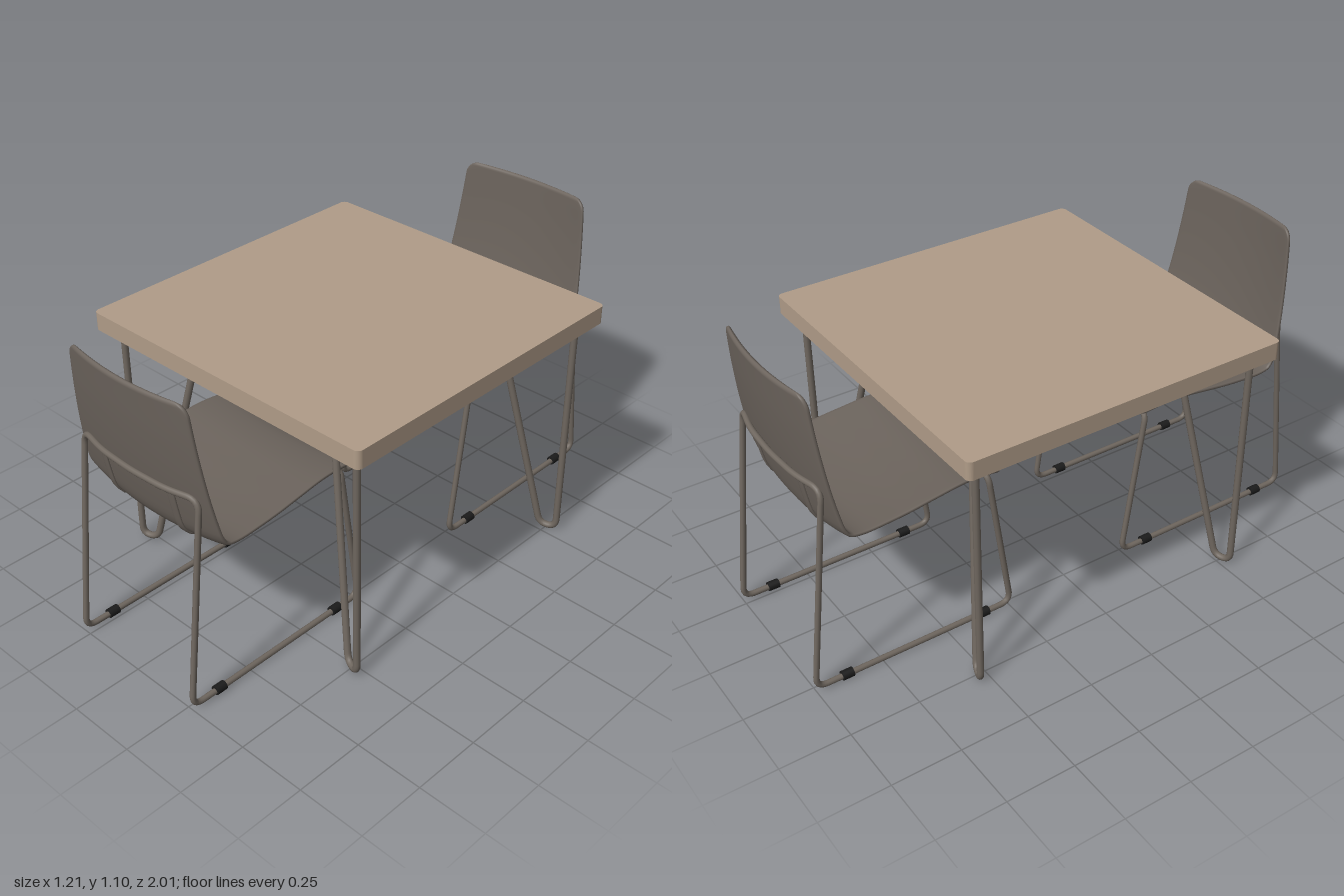
import * as THREE from 'three';

const mat = (name, color) => Object.assign(new THREE.MeshStandardMaterial({ color }), { name });
const wood = mat('tan wood', 0xb09c88);
const shellGrey = mat('warm grey shell', 0x6b635c);
const metal = mat('warm grey metal', 0x6f675f);
const black = mat('black rubber', 0x1b1b1b);

const V = (x, y, z) => new THREE.Vector3(x, y, z);

function add(parent, name, geometry, material, x = 0, y = 0, z = 0) {
  const mesh = new THREE.Mesh(geometry, material);
  mesh.name = name;
  mesh.position.set(x, y, z);
  parent.add(mesh);
  return mesh;
}

// Round rod along straight runs joined by soft bends
function rod(points, bend, radius, segments) {
  const path = new THREE.CurvePath();
  let last = points[0];
  for (let i = 1; i < points.length - 1; i++) {
    const p = points[i];
    const toward = (q) => p.clone().lerp(q, Math.min(bend / p.distanceTo(q), 0.49));
    const start = toward(points[i - 1]), end = toward(points[i + 1]);
    path.add(new THREE.LineCurve3(last, start));
    path.add(new THREE.QuadraticBezierCurve3(start, p, end));
    last = end;
  }
  path.add(new THREE.LineCurve3(last, points[points.length - 1]));
  return new THREE.TubeGeometry(path, segments, radius, 10, false);
}

// Chair centre line from top of back to front of seat, as (z, y)
const profile = new THREE.CatmullRomCurve3([
  [0.964, 1.103], [0.952, 0.95], [0.934, 0.8], [0.913, 0.68], [0.896, 0.615],
  [0.868, 0.577], [0.82, 0.563], [0.7, 0.567], [0.55, 0.583], [0.43, 0.594],
  [0.34, 0.589], [0.285, 0.576],
].map(([z, y]) => V(0, y, z)));
profile.arcLengthDivisions = 600;
const LENGTH = profile.getLength();

const halfWidth = (t) => t < 0.43
  ? THREE.MathUtils.lerp(0.265, 0.315, t / 0.43)
  : 0.315 - 0.012 * Math.max(0, (t - 0.7) / 0.3);

// Point on the dished shell surface, moved off it along its normal
function shellPoint(x, t, offset) {
  const p = profile.getPointAt(t), d = profile.getTangentAt(t);
  const u = x / halfWidth(t);
  const lift = 0.03 * u * u + offset;
  return [x, p.y - d.z * lift, p.z + d.y * lift];
}

// Closed panel following the shell between t0 and t1
function panel({ t0 = 0, t1 = 1, centre = 0, width, thick, offset = 0, corner, rows, sides }) {
  const pos = [], index = [];
  for (let j = 0; j <= rows; j++) {
    const t = t0 + (t1 - t0) * (0.5 - 0.5 * Math.cos(Math.PI * j / rows));
    const s = Math.min(t - t0, t1 - t) * LENGTH;
    const k = Math.max(0, 1 - s / corner);
    const w = width(t) - corner * (1 - Math.sqrt(1 - k * k));
    const h = thick / 2 * Math.sqrt(Math.max(0, Math.min(1, s / 0.008)));
    for (let i = 0; i < sides; i++) {
      const a = 2 * Math.PI * i / sides, sn = Math.sin(a);
      const y = Math.sign(sn) * Math.pow(Math.abs(sn), 0.3) * h;
      pos.push(...shellPoint(centre + w * Math.cos(a), t, offset + y));
      if (j < rows) {
        const n = (i + 1) % sides, r = j * sides, q = r + sides;
        index.push(r + i, q + i, q + n, r + i, q + n, r + n);
      }
    }
  }
  const g = new THREE.BufferGeometry();
  g.setAttribute('position', new THREE.Float32BufferAttribute(pos, 3));
  g.setIndex(index);
  g.computeVertexNormals();
  return g;
}

function createChair(name) {
  const chair = new THREE.Group();
  chair.name = name;

  add(chair, 'seatShell', panel({ width: halfWidth, thick: 0.019, corner: 0.045, rows: 72, sides: 48 }), shellGrey);

  // Flat support straps under the shell
  for (const side of [-1, 1]) {
    add(chair, 'supportStrap', panel({
      t0: 0.29, t1: 0.95, centre: side * 0.157, width: () => 0.015,
      thick: 0.008, offset: -0.011, corner: 0.004, rows: 48, sides: 12,
    }), shellGrey);
  }

  // One continuous sled frame with front and rear cross bars
  const half = [
    V(0.13, 0.572, 0.328), V(0.27, 0.586, 0.326), V(0.27, 0.015, 0.243),
    V(0.27, 0.015, 1.0), V(0.268, 0.772, 0.915), V(0.15, 0.772, 0.944),
  ];
  const other = half.map((p) => V(-p.x, p.y, p.z)).reverse();
  const loop = [V(0, 0.566, 0.328), ...half, V(0, 0.772, 0.952), ...other, V(0, 0.566, 0.328)];
  // Tight bends at the bar ends, wide bends at the floor
  add(chair, 'sledFrame', rod(loop, 0.045, 0.0105, 460), metal);

  // Rubber glides on the floor rails
  for (const x of [-0.27, 0.27]) {
    for (const z of [0.355, 0.885]) {
      add(chair, 'glide', new THREE.CylinderGeometry(0.0165, 0.0165, 0.04, 16), black, x, 0.0165, z)
        .rotation.x = Math.PI / 2;
    }
  }
  return chair;
}

function createTable() {
  const table = new THREE.Group();
  table.name = 'table';

  // Rounded-corner slab
  const e = 0.603, r = 0.02, s = new THREE.Shape();
  s.absarc(e - r, e - r, r, 0, Math.PI / 2);
  s.absarc(r - e, e - r, r, Math.PI / 2, Math.PI);
  s.absarc(r - e, r - e, r, Math.PI, Math.PI * 1.5);
  s.absarc(e - r, r - e, r, Math.PI * 1.5, Math.PI * 2);
  const slab = new THREE.ExtrudeGeometry(s, { depth: 0.065, bevelEnabled: false, curveSegments: 8 });
  slab.rotateX(-Math.PI / 2);
  add(table, 'tableTop', slab, wood, 0, 0.875, 0);

  // Hairpin legs with round mounting plates
  for (const sx of [-1, 1]) {
    for (const sz of [-1, 1]) {
      const leg = new THREE.Group();
      leg.name = 'hairpinLeg';
      const at = (x, y, z) => V(sx * x, y, sz * z);
      add(leg, 'legRod', rod([
        at(0.537, 0.865, 0.538), at(0.537, 0.013, 0.535),
        at(0.478, 0.013, 0.514), at(0.308, 0.865, 0.402),
      ], 0.035, 0.0125, 180), metal);
      for (const [x, z] of [[0.537, 0.538], [0.305, 0.402]]) {
        add(leg, 'mountingPlate', new THREE.CylinderGeometry(0.036, 0.036, 0.015, 24), metal, sx * x, 0.8675, sz * z);
      }
      table.add(leg);
    }
  }
  table.position.z = -0.005;
  return table;
}

export function createModel() {
  const model = new THREE.Group();
  model.name = 'diningSet';
  const backChair = createChair('backChair');
  backChair.rotation.y = Math.PI;
  model.add(createTable(), createChair('frontChair'), backChair);
  return model;
}
